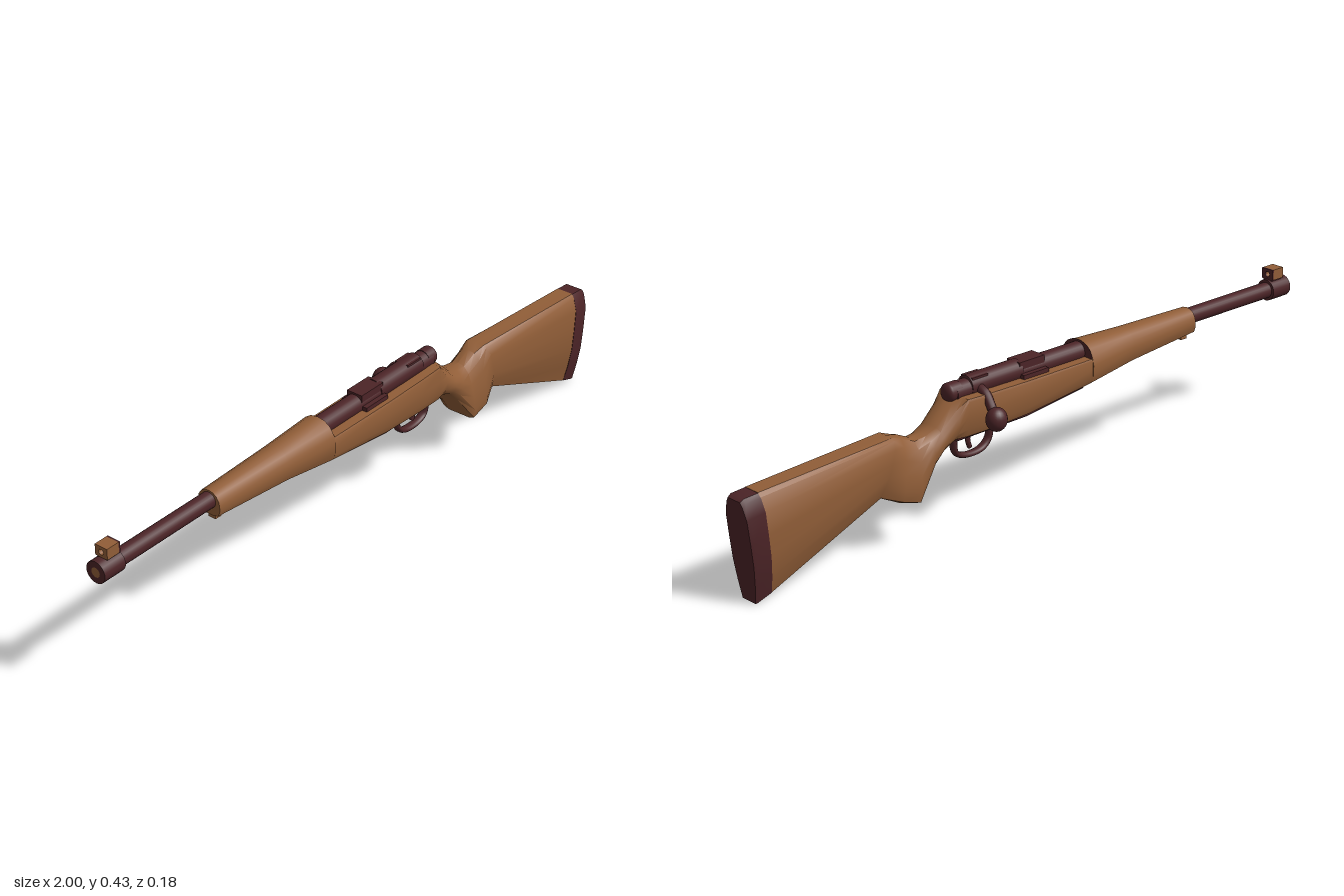
import * as THREE from 'three';
import { toCreasedNormals } from 'three/addons/utils/BufferGeometryUtils.js';

const Z = 0.03; // centre plane of the rifle

// Half outlines, top to bottom: [share of half width, share of height]
const FORE = [[0, 0], [0.38, 0.03], [0.7, 0.14], [0.92, 0.32], [1, 0.5], [1, 0.72], [0.85, 0.93], [0.5, 1]];
const FLAT = [[0, 0], [0.6, 0], [0.95, 0], [1, 0.06], [1, 0.4], [1, 0.72], [0.85, 0.93], [0.5, 1]];
const OVAL = [[0, 0], [0.42, 0.04], [0.74, 0.16], [0.93, 0.33], [1, 0.53], [0.93, 0.75], [0.74, 0.91], [0.4, 1]];
const GRIP = [[0, 0], [0.35, 0.03], [0.62, 0.14], [0.8, 0.33], [0.92, 0.55], [1, 0.8], [0.9, 0.96], [0.6, 1]];
const BUTT = [[0, 0], [0.55, 0], [0.72, 0.04], [0.98, 0.17], [1, 0.4], [0.98, 0.62], [0.82, 0.82], [0.6, 1]];

// Skin through sections: [outline, top x, top y, bottom x, bottom y, half width]
function loft(sections) {
  const pos = [], idx = [];
  const n = FORE.length * 2 - 1;
  for (const [shape, xt, yt, xb, yb, w] of sections) {
    const half = shape.map(([u, v]) => [u, v]);
    const ring = [...half, ...half.slice(1).reverse().map(([u, v]) => [-u, v])];
    for (const [u, v] of ring) pos.push(xt + (xb - xt) * v, yt + (yb - yt) * v, Z + u * w);
  }
  const last = (sections.length - 1) * n;
  for (let s = 0; s < last; s += n) {
    for (let i = 0; i < n; i++) {
      const j = (i + 1) % n;
      idx.push(s + i, s + j, s + n + i, s + j, s + n + j, s + n + i);
    }
  }
  for (let i = 1; i < n - 1; i++) idx.push(0, i + 1, i, last, last + i, last + i + 1);
  const g = new THREE.BufferGeometry();
  g.setAttribute('position', new THREE.Float32BufferAttribute(pos, 3));
  g.setIndex(idx);
  return toCreasedNormals(g, 0.6);
}

export function createModel() {
  const model = new THREE.Group();
  model.name = 'rifle';
  const wood = new THREE.MeshStandardMaterial({ color: 0x915e38 });
  wood.name = 'brown wood';
  const steel = new THREE.MeshStandardMaterial({ color: 0x4c2427 });
  steel.name = 'dark steel';

  const add = (name, geometry, material, x = 0, y = 0, z = 0) => {
    const mesh = new THREE.Mesh(geometry, material);
    mesh.name = name;
    mesh.position.set(x, y, z);
    model.add(mesh);
    return mesh;
  };
  const box = (name, material, x0, x1, y0, y1, w) =>
    add(name, new THREE.BoxGeometry(x1 - x0, y1 - y0, w), material, (x0 + x1) / 2, (y0 + y1) / 2, Z);
  const rod = (name, x0, x1, y, r) =>
    add(name, new THREE.CylinderGeometry(r, r, x1 - x0, 24).rotateZ(Math.PI / 2), steel, (x0 + x1) / 2, y, Z);

  // Wooden fore-end with rounded handguard
  add('foreEnd', loft([
    [FORE, -0.595, 0.392, -0.595, 0.322, 0.036],
    [FORE, -0.34, 0.396, -0.34, 0.304, 0.048],
    [FORE, -0.17, 0.402, -0.17, 0.283, 0.06],
  ]), wood);
  add('handguardEnd', new THREE.CircleGeometry(1, 20, 0, Math.PI).rotateY(Math.PI / 2).scale(1, 0.045, 0.056),
    steel, -0.168, 0.359, Z);
  box('frontLug', wood, -0.585, -0.563, 0.305, 0.34, 0.024);

  // Main stock, grip and butt
  add('stock', loft([
    [FLAT, -0.17, 0.36, -0.17, 0.284, 0.057],
    [FLAT, 0.06, 0.36, 0.06, 0.258, 0.059],
    [FLAT, 0.2, 0.362, 0.2, 0.252, 0.059],
    [FLAT, 0.28, 0.364, 0.28, 0.252, 0.058],
    [OVAL, 0.31, 0.355, 0.315, 0.25, 0.057],
    [OVAL, 0.365, 0.303, 0.35, 0.233, 0.053],
    [OVAL, 0.4, 0.29, 0.38, 0.2, 0.052],
    [GRIP, 0.435, 0.287, 0.445, 0.118, 0.058],
    [GRIP, 0.48, 0.308, 0.505, 0.136, 0.058],
    [BUTT, 0.515, 0.315, 0.56, 0.163, 0.048],
    [BUTT, 0.945, 0.292, 0.918, 0.016, 0.046],
  ]), wood);
  add('buttPad', loft([
    [BUTT, 0.944, 0.291, 0.917, 0.016, 0.047],
    [BUTT, 0.99, 0.288, 0.96, 0.002, 0.046],
    [BUTT, 1.0, 0.281, 0.967, 0.0, 0.043],
  ]), steel);

  // Barrel, muzzle and front sight
  rod('barrel', -0.97, -0.1, 0.364, 0.023);
  rod('muzzle', -1.0, -0.928, 0.364, 0.031);
  add('bore', new THREE.CircleGeometry(0.014, 16).rotateY(-Math.PI / 2), wood, -1.0005, 0.364, Z);
  box('sightBase', steel, -0.975, -0.935, 0.385, 0.402, 0.03);
  const hood = new THREE.Shape();
  [[-0.02, 0], [0.02, 0], [0.02, 0.031], [-0.02, 0.031]].forEach(([a, b], i) =>
    i ? hood.lineTo(a, b) : hood.moveTo(a, b));
  hood.closePath();
  hood.holes.push(new THREE.Path().absarc(0, 0.015, 0.008, 0, Math.PI * 2, true));
  const slab = (depth) =>
    new THREE.ExtrudeGeometry(hood, { depth, bevelEnabled: false, curveSegments: 8 }).rotateY(Math.PI / 2);
  add('frontSight', slab(0.04), wood, -0.978, 0.396, Z);
  add('frontSightRear', slab(0.005), steel, -0.938, 0.396, Z);

  // Receiver and bolt
  rod('receiver', -0.168, 0.29, 0.37, 0.028);
  rod('boltShroud', 0.27, 0.3, 0.374, 0.026);
  add('boltCap', new THREE.SphereGeometry(0.026, 20, 12).scale(0.6, 1, 1), steel, 0.3, 0.374, Z);
  box('receiverBridge', steel, -0.02, 0.07, 0.35, 0.403, 0.05);
  box('receiverFlange', steel, -0.02, 0.07, 0.35, 0.372, 0.084);
  rod('receiverRear', 0.06, 0.24, 0.376, 0.03);
  box('boltRelease', steel, 0.18, 0.235, 0.35, 0.402, 0.044);

  // Bolt handle on the right side, bent down to a knob
  const arm = new THREE.CatmullRomCurve3([
    [0.212, 0.375, 0.02], [0.212, 0.362, -0.015], [0.214, 0.335, -0.038], [0.216, 0.31, -0.055],
  ].map((p) => new THREE.Vector3(...p)));
  add('boltHandle', new THREE.TubeGeometry(arm, 16, 0.013, 12), steel);
  add('boltKnob', new THREE.SphereGeometry(0.03, 20, 16).scale(1, 1.1, 0.95), steel, 0.216, 0.303, -0.062);

  // Floor plate, trigger guard and trigger
  add('floorPlate', loft([
    [FLAT, -0.15, 0.3, -0.15, 0.274, 0.042],
    [FLAT, 0.06, 0.275, 0.06, 0.251, 0.044],
    [FLAT, 0.3, 0.265, 0.3, 0.245, 0.036],
  ]), steel);
  const guard = new THREE.CatmullRomCurve3([
    [0.155, 0.255], [0.163, 0.21], [0.19, 0.188], [0.25, 0.186], [0.28, 0.202], [0.285, 0.255],
  ].map(([x, y]) => new THREE.Vector3(x, y, 0)));
  add('triggerGuard', new THREE.TubeGeometry(guard, 32, 0.008, 10).scale(1, 1, 1.6), steel, 0, 0, Z);
  const pull = new THREE.CatmullRomCurve3([
    [0.225, 0.255], [0.235, 0.228], [0.228, 0.202],
  ].map(([x, y]) => new THREE.Vector3(x, y, 0)));
  add('trigger', new THREE.TubeGeometry(pull, 10, 0.007, 8), steel, 0, 0, Z);

  return model;
}
